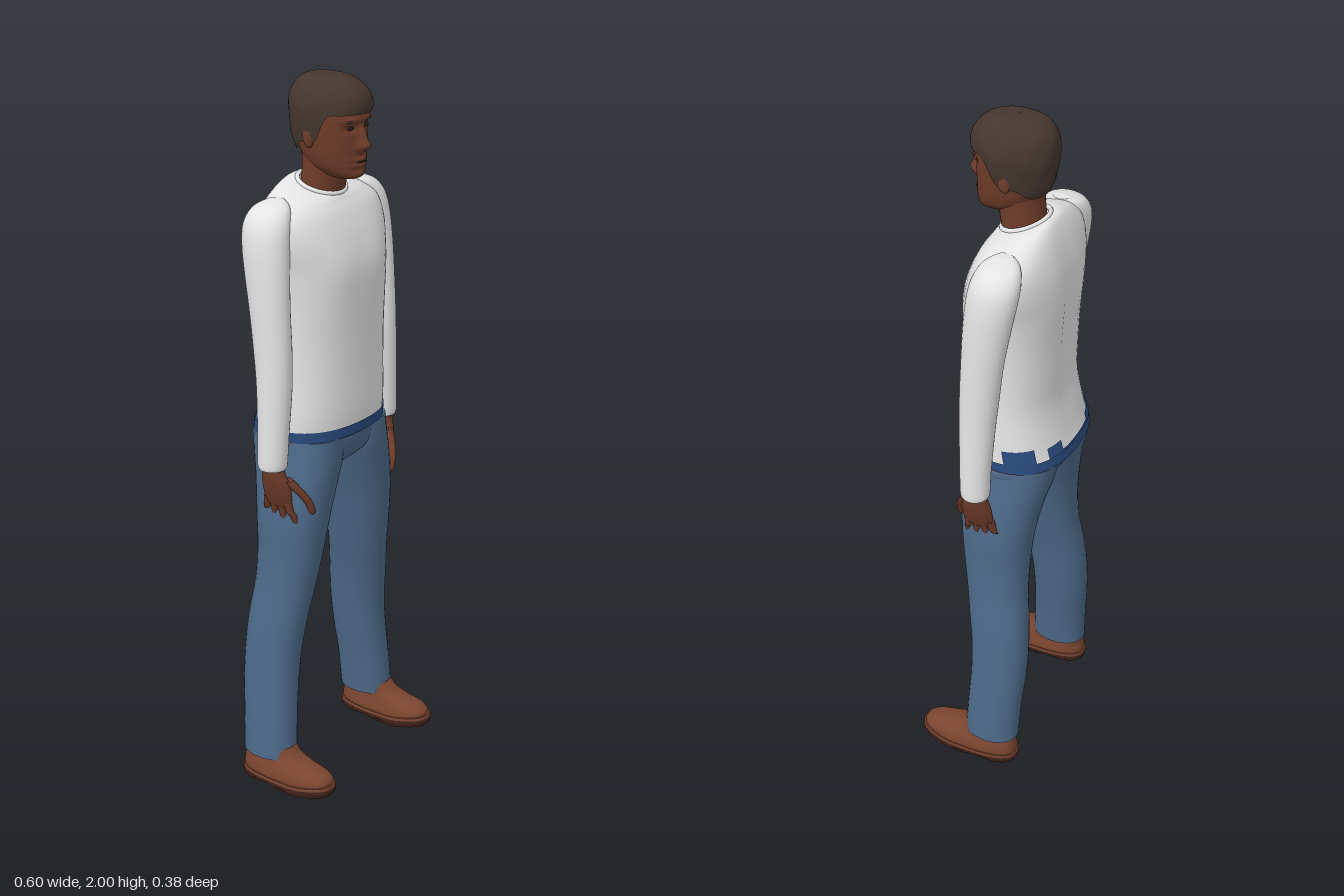
import * as THREE from 'three';

const mat = (name, color, side = THREE.FrontSide) => {
  const m = new THREE.MeshStandardMaterial({ color, side });
  m.name = name;
  return m;
};

// Smooth value through the rows of a section table at t in 0..1
function sample(secs, t) {
  const n = secs.length - 1, f = Math.min(t, 0.99999) * n, i = Math.floor(f), u = f - i;
  return [0, 1, 2, 3, 4, 5].map((k) => {
    const v = (j) => secs[Math.max(0, Math.min(n, j))][k] ?? 0;
    const p0 = v(i - 1), p1 = v(i), p2 = v(i + 1), p3 = v(i + 2);
    const a = (p2 - p0) / 2, b = (p3 - p1) / 2;
    return (2 * p1 - 2 * p2 + a + b) * u ** 3 + (-3 * p1 + 3 * p2 - 2 * a - b) * u * u + a * u + p1;
  });
}

// Skin over horizontal sections, bottom to top: [y, centre x, half width, front z, back z, forward tilt]
function loft(secs, o = {}) {
  const { seg = 32, rows = secs.length * 4, p = 2, a0 = 0, a1 = Math.PI * 2, start = () => 0, end = 1,
    cap = false, grow = 0, map } = o;
  const pos = [], idx = [], full = a1 - a0 > 6.28, cols = full ? seg : seg + 1;
  const pw = (v) => Math.sign(v) * Math.abs(v) ** (2 / p);
  for (let i = 0; i <= rows; i++) {
    for (let j = 0; j < cols; j++) {
      const a = a0 + ((a1 - a0) * j) / seg, t0 = start(a);
      const [y, cx, rx, zf, zb, tilt] = sample(secs, t0 + (end - t0) * (i / rows));
      const dz = ((zf - zb) / 2 + grow) * pw(Math.cos(a));
      const v = new THREE.Vector3(cx + (rx + grow) * pw(Math.sin(a)), y - tilt * dz, (zf + zb) / 2 + dz);
      if (map) map(v, a);
      pos.push(v.x, v.y, v.z);
    }
  }
  for (let i = 0; i < rows; i++) {
    for (let j = 0; j < seg; j++) {
      const k = (j + 1) % cols, a = i * cols + j, b = i * cols + k;
      idx.push(a, b, a + cols, b, b + cols, a + cols);
    }
  }
  if (cap && full) {
    for (const r of [0, rows]) {
      const base = pos.length / 3, c = [0, 0, 0];
      for (let j = 0; j < cols; j++) {
        for (let k = 0; k < 3; k++) {
          const q = pos[(r * cols + j) * 3 + k];
          pos.push(q);
          c[k] += q / cols;
        }
      }
      pos.push(...c);
      for (let j = 0; j < cols; j++) {
        const a = base + j, b = base + ((j + 1) % cols);
        idx.push(base + cols, ...(r ? [a, b] : [b, a]));
      }
    }
  }
  const g = new THREE.BufferGeometry();
  g.setAttribute('position', new THREE.Float32BufferAttribute(pos, 3));
  g.setIndex(idx);
  g.computeVertexNormals();
  return g;
}

export function createModel() {
  const skin = mat('skin', 0x6e3c29), hair = mat('hair', 0x45362f, THREE.DoubleSide);
  const shirt = mat('shirt white', 0xe4e4e4, THREE.DoubleSide), denim = mat('denim', 0x4c6988);
  const hemBlue = mat('hem blue', 0x2a4c80, THREE.DoubleSide), leather = mat('shoe leather', 0x7a4530);
  const soleDark = mat('sole dark', 0x40221a), eyeDark = mat('eye dark', 0x2b1a15);
  const root = new THREE.Group();
  const add = (name, geo, m) => {
    const mesh = new THREE.Mesh(geo, m);
    mesh.name = name;
    root.add(mesh);
    return mesh;
  };
  const ball = (name, m, x, y, z, sx, sy, sz) => {
    const b = add(name, new THREE.SphereGeometry(1, 16, 12), m);
    b.position.set(x, y, z);
    b.scale.set(sx, sy, sz);
    return b;
  };
  const bump = (v, x, y, sx, sy) => Math.exp(-(((v.x - x) / sx) ** 2) - ((v.y - y) / sy) ** 2);

  // Sweater body, with chest and spine shaping
  const body = [
    [1.04, 0, 0.2, 0.11, -0.182], [1.1, 0, 0.197, 0.114, -0.165], [1.2, 0, 0.19, 0.114, -0.147],
    [1.3, 0, 0.189, 0.115, -0.148], [1.4, 0, 0.193, 0.117, -0.152], [1.5, 0, 0.203, 0.113, -0.158],
    [1.58, 0, 0.222, 0.094, -0.154], [1.64, 0, 0.215, 0.068, -0.142], [1.68, 0, 0.163, 0.05, -0.125, 0.15],
    [1.7, 0, 0.105, 0.043, -0.108, 0.3], [1.705, 0, 0.068, 0.036, -0.088, 0.35]];
  const shape = (v) => {
    if (v.z > 0.02) v.z += 0.006 * (bump(v, 0.085, 1.5, 0.06, 0.08) + bump(v, -0.085, 1.5, 0.06, 0.08));
    else if (v.z < -0.08) v.z += 0.012 * bump(v, 0, 1.42, 0.03, 0.2);
  };
  add('sweater', loft(body, { seg: 48, rows: 50, p: 2.35, map: shape }), shirt);
  const collar = add('collar', new THREE.TorusGeometry(0.07, 0.007, 10, 40), shirt);
  collar.position.set(0, 1.705, -0.026);
  collar.rotation.x = Math.PI / 2 + 0.33;
  collar.scale.y = 0.92;

  // Blue undershirt hem and the stepped patches above it
  add('undershirtHem', loft([[1.03, 0, 0.2, 0.111, -0.184], [1.06, 0, 0.2, 0.112, -0.18]],
    { seg: 48, rows: 2, p: 2.35, grow: 0.003 }), hemBlue);
  for (const [a0, a1, top] of [[1.7, 2.3, 0.1], [2.55, 2.85, 0.085], [2.85, 3.5, 0.045], [3.5, 4.0, 0.07], [4.0, 4.6, 0.1]]) {
    add('hemPatch', loft(body, { seg: 10, rows: 3, p: 2.35, a0, a1, end: top, grow: 0.003 }), hemBlue);
  }
  add('waistLine', loft([[1.026, 0, 0.2, 0.109, -0.181], [1.034, 0, 0.2, 0.109, -0.181]],
    { seg: 48, rows: 1, p: 2.35, cap: true }), leather);

  // Jeans seat
  add('pelvis', loft([[0.925, 0, 0.06, 0.05, -0.09], [0.96, 0, 0.15, 0.088, -0.142],
    [1.0, 0, 0.2, 0.1, -0.162], [1.035, 0, 0.197, 0.103, -0.175]], { p: 2.3, cap: true }), denim);

  for (const s of [1, -1]) {
    const side = s > 0 ? 'left' : 'right';
    const limb = (name, secs, m, o = {}) =>
      add(side + name, loft(secs.map(([y, x, ...r]) => [y, x * s, ...r]), { cap: true, ...o }), m);

    // Trouser leg
    limb('TrouserLeg', [
      [0.085, 0.236, 0.06, 0.046, -0.115], [0.2, 0.227, 0.062, 0.04, -0.12], [0.3, 0.215, 0.065, 0.036, -0.128],
      [0.4, 0.203, 0.067, 0.038, -0.13], [0.5, 0.19, 0.069, 0.05, -0.124], [0.6, 0.172, 0.073, 0.064, -0.113],
      [0.7, 0.158, 0.081, 0.078, -0.112], [0.8, 0.145, 0.092, 0.088, -0.12], [0.9, 0.122, 0.101, 0.096, -0.138],
      [0.96, 0.106, 0.104, 0.1, -0.155], [1.03, 0.1, 0.096, 0.1, -0.168]], denim, { p: 2.2 });

    // Shoe with lifted toe, and sole with a raised arch
    const toe = (v) => { v.y += Math.max(0, v.z - 0.09) * 0.16; };
    limb('Shoe', [
      [0.02, 0.241, 0.056, 0.18, -0.113], [0.04, 0.241, 0.056, 0.18, -0.114], [0.058, 0.241, 0.052, 0.158, -0.112],
      [0.075, 0.239, 0.047, 0.115, -0.11], [0.092, 0.237, 0.044, 0.07, -0.106], [0.118, 0.236, 0.045, 0.045, -0.102]],
    leather, { p: 2.6, map: toe });
    limb('Sole', [[0, 0.241, 0.057, 0.185, -0.115], [0.012, 0.241, 0.06, 0.19, -0.119], [0.022, 0.241, 0.059, 0.188, -0.118]],
      soleDark, { p: 2.6, map: (v) => {
        toe(v);
        if (v.y < 0.01) v.y += 0.01 * Math.exp(-(((v.z + 0.01) / 0.035) ** 2));
      } });
    limb('Welt', [[0.021, 0.241, 0.06, 0.189, -0.119], [0.03, 0.241, 0.059, 0.187, -0.118]], leather, { p: 2.6, map: toe });

    // Sleeve from cuff to shoulder
    limb('Sleeve', [
      [0.975, 0.256, 0.037, 0.037, -0.037], [0.99, 0.256, 0.04, 0.041, -0.041], [1.06, 0.252, 0.041, 0.043, -0.043],
      [1.2, 0.242, 0.045, 0.047, -0.052], [1.3, 0.239, 0.046, 0.046, -0.063], [1.4, 0.238, 0.047, 0.041, -0.075],
      [1.5, 0.234, 0.05, 0.036, -0.092], [1.58, 0.226, 0.054, 0.03, -0.106], [1.635, 0.212, 0.055, 0.022, -0.11],
      [1.672, 0.19, 0.045, 0.005, -0.098], [1.69, 0.165, 0.015, -0.025, -0.07]], shirt);

    // Hand: palm, four fingers and thumb
    limb('Palm', [[0.86, 0.23, 0.015, 0.04, -0.038], [0.89, 0.237, 0.021, 0.048, -0.042], [0.93, 0.246, 0.025, 0.045, -0.04],
      [0.965, 0.253, 0.026, 0.033, -0.033], [1.01, 0.256, 0.026, 0.03, -0.03]], skin);
    [0.795, 0.78, 0.782, 0.8].forEach((tip, k) => {
      const z = 0.032 - 0.022 * k, d = 0.012 - 0.01 * k;
      const row = (y, x, r, dz) => [y, x, r, z + dz + r, z + dz - r];
      limb('Finger', [row(tip, 0.208, 0.003, d), row(tip + 0.006, 0.21, 0.008, d), row(tip + 0.035, 0.22, 0.01, d * 0.8),
        row(0.845, 0.228, 0.011, d * 0.3), row(0.88, 0.235, 0.012, 0)], skin, { seg: 12 });
    });
    limb('Thumb', [[0.835, 0.186, 0.003, 0.083, 0.077], [0.842, 0.187, 0.009, 0.089, 0.071], [0.87, 0.196, 0.011, 0.088, 0.064],
      [0.9, 0.212, 0.013, 0.076, 0.046], [0.94, 0.236, 0.018, 0.05, 0.01]], skin, { seg: 12 });

    // Ear, eye and eyebrow
    ball(side + 'Ear', skin, s * 0.084, 1.845, -0.005, 0.009, 0.03, 0.018);
    ball(side + 'Eye', eyeDark, s * 0.033, 1.868, 0.092, 0.013, 0.005, 0.005);
    ball(side + 'Eyebrow', hair, s * 0.034, 1.888, 0.097, 0.02, 0.004, 0.005).rotation.z = -s * 0.1;
  }

  // Neck and head, with nose, brow, eye sockets and lips pushed out of the face
  add('neck', loft([[1.66, 0, 0.066, 0.03, -0.084], [1.72, 0, 0.063, 0.042, -0.078],
    [1.77, 0, 0.062, 0.05, -0.075], [1.83, 0, 0.065, 0.04, -0.08]]), skin);
  const face = (v) => {
    if (v.z < 0.03) return;
    v.z += 0.026 * bump(v, 0, 1.822, 0.015, 0.016) + 0.016 * bump(v, 0, 1.85, 0.011, 0.022)
      + 0.008 * bump(v, 0, 1.785, 0.026, 0.006) + 0.009 * bump(v, 0, 1.77, 0.024, 0.006)
      + 0.006 * bump(v, 0, 1.745, 0.025, 0.01);
    for (const e of [1, -1]) {
      v.z += 0.006 * bump(v, e * 0.032, 1.89, 0.03, 0.008) - 0.01 * bump(v, e * 0.033, 1.868, 0.018, 0.011)
        + 0.007 * bump(v, e * 0.015, 1.817, 0.008, 0.009);
    }
  };
  add('head', loft([
    [1.73, 0, 0.022, 0.085, 0.03], [1.738, 0, 0.043, 0.098, 0.0], [1.76, 0, 0.063, 0.101, -0.04],
    [1.79, 0, 0.074, 0.102, -0.07], [1.83, 0, 0.081, 0.103, -0.088], [1.87, 0, 0.085, 0.104, -0.094],
    [1.91, 0, 0.085, 0.104, -0.096], [1.95, 0, 0.075, 0.09, -0.085], [1.98, 0, 0.04, 0.05, -0.055]],
  { seg: 96, rows: 90, p: 2.25, cap: true, map: face }), skin);
  ball('mouth', eyeDark, 0, 1.7775, 0.106, 0.023, 0.0015, 0.004);

  // Short hair whose lower edge rises from nape to forehead, slightly wavy
  const hairline = (a) => {
    const c = Math.cos(a), k = THREE.MathUtils.smoothstep(c, 0.1, 0.5);
    return k * 0.42 + (1 - k) * (0.14 * THREE.MathUtils.smoothstep(c, -0.9, -0.2));
  };
  add('hair', loft([
    [1.795, 0, 0.077, 0.09, -0.087], [1.825, 0, 0.086, 0.1, -0.1], [1.86, 0, 0.092, 0.108, -0.107],
    [1.895, 0, 0.096, 0.116, -0.111], [1.925, 0, 0.094, 0.12, -0.111], [1.955, 0, 0.085, 0.11, -0.106],
    [1.98, 0, 0.065, 0.084, -0.09], [1.995, 0, 0.038, 0.05, -0.06], [2.0, 0, 0.002, -0.004, -0.01]],
  { seg: 64, rows: 48, p: 2.1, start: hairline, map: (v) => {
    const w = 1 + 0.012 * Math.sin(v.x * 90 + v.y * 60) * Math.sin(v.z * 80);
    v.x *= w;
    v.z *= w;
  } }), hair);
  return root;
}
